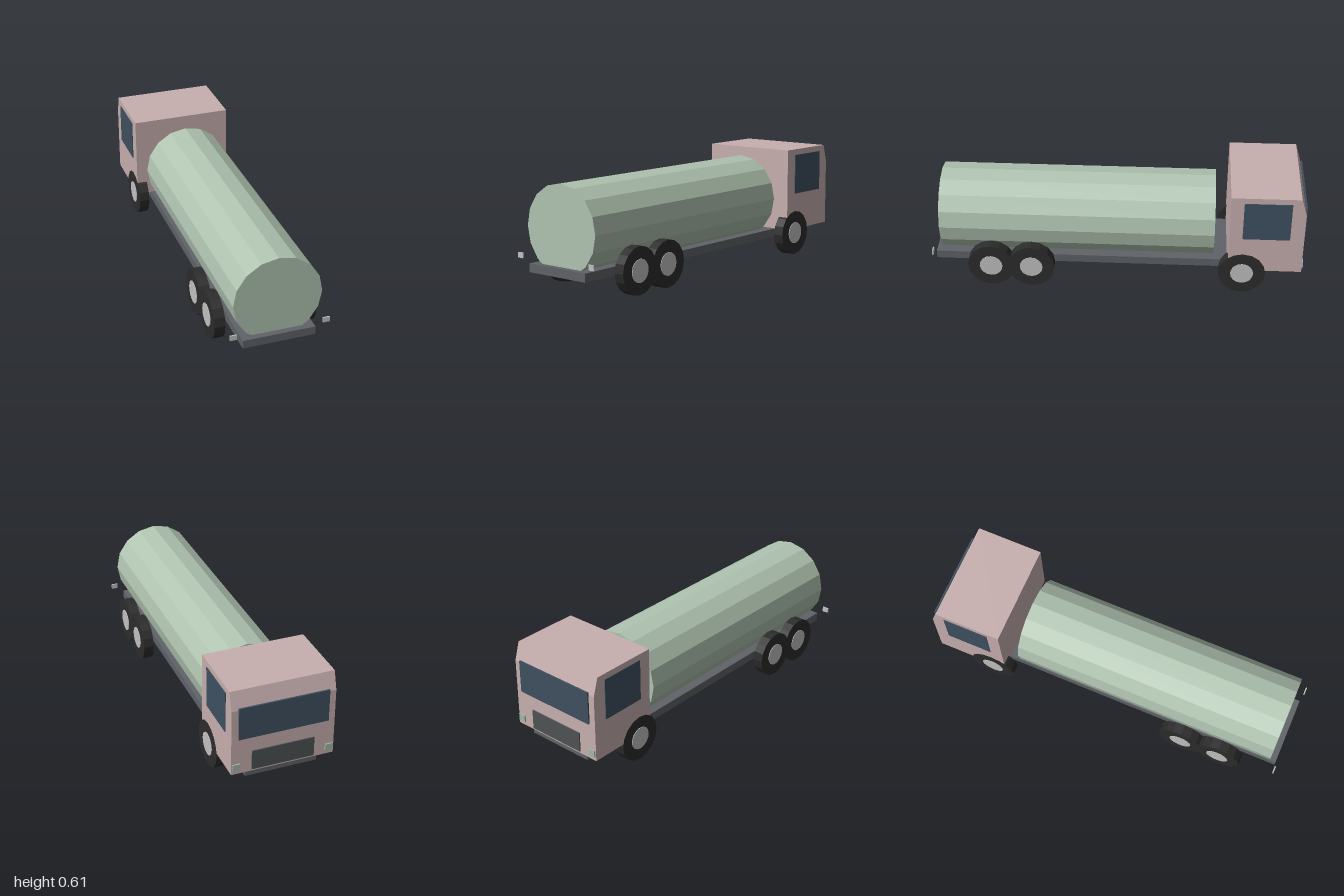
import * as THREE from 'three';

const mat = (name, color) => {
  const m = new THREE.MeshStandardMaterial({ color });
  m.name = name;
  return m;
};

export function createModel() {
  const truck = new THREE.Group();
  truck.name = 'tankerTruck';

  const tankGreen = mat('tankGreen', 0xb0c4b1);
  const cabPink = mat('cabPink', 0xc8afaf);
  const chassisGrey = mat('chassisGrey', 0x5f6367);
  const tyreBlack = mat('tyreBlack', 0x2c2c2c);
  const lightGrey = mat('lightGrey', 0xc2c2c2);
  const glassBlue = mat('glassBlue', 0x3f5061);
  const grilleGrey = mat('grilleGrey', 0x4e5254);
  const lampGreen = mat('lampGreen', 0xa3b8ab);

  const add = (name, geometry, material) => {
    const mesh = new THREE.Mesh(geometry, material);
    mesh.name = name;
    truck.add(mesh);
    return mesh;
  };

  // Box given by its minimum and maximum on each axis
  const box = (name, material, [x0, x1], [y0, y1], [z0, z1]) =>
    add(name, new THREE.BoxGeometry(x1 - x0, y1 - y0, z1 - z0), material)
      .position.set((x0 + x1) / 2, (y0 + y1) / 2, (z0 + z1) / 2);

  // Faceted cylinder
  const drum = (radius, length) =>
    new THREE.CylinderGeometry(radius, radius, length, 16).toNonIndexed();
  const flat = (geometry) => {
    geometry.computeVertexNormals();
    return geometry;
  };

  // Chassis and tank
  box('chassis', chassisGrey, [-0.192, 0.192], [0.107, 0.152], [-0.973, 0.989]);
  add('tank', flat(drum(0.233, 1.478).rotateX(Math.PI / 2)), tankGreen)
    .position.set(0, 0.338, 0.217);

  // Cab: side profile with a sloped brow, extruded across the width
  const profile = new THREE.Shape([
    [0.597, 0.147], [0.992, 0.147], [0.992, 0.515], [0.963, 0.611], [0.597, 0.611],
  ].map(([u, v]) => new THREE.Vector2(u, v)));
  const cab = new THREE.ExtrudeGeometry(profile, { depth: 0.548, bevelEnabled: false });
  cab.translate(0, 0, -0.274).rotateY(Math.PI / 2);
  add('cab', cab, cabPink);

  // Cab front details
  box('windscreen', glassBlue, [-0.238, 0.238], [0.349, 0.527], [-1, -0.991]);
  box('grille', grilleGrey, [-0.166, 0.166], [0.158, 0.266], [-0.998, -0.991]);

  for (const side of [-1, 1]) {
    const span = (a, b) => (side > 0 ? [a, b] : [-b, -a]);
    box('sideWindow', glassBlue, span(0.27, 0.278), [0.355, 0.579], [-0.917, -0.667]);
    box('headLamp', lampGreen, span(0.228, 0.268), [0.168, 0.206], [-0.999, -0.991]);
    box('tailLamp', lightGrey, span(0.226, 0.262), [0.175, 0.203], [0.993, 1]);

    // Wheels: one front axle and two rear axles
    for (const z of [-0.675, 0.462, 0.68]) {
      add('tyre', flat(drum(0.126, 0.057).rotateZ(Math.PI / 2)), tyreBlack)
        .position.set(side * 0.2465, 0.126, z);
      add('hub', flat(drum(0.062, 0.008).rotateZ(Math.PI / 2)), lightGrey)
        .position.set(side * 0.274, 0.126, z);
    }
  }

  return truck;
}
